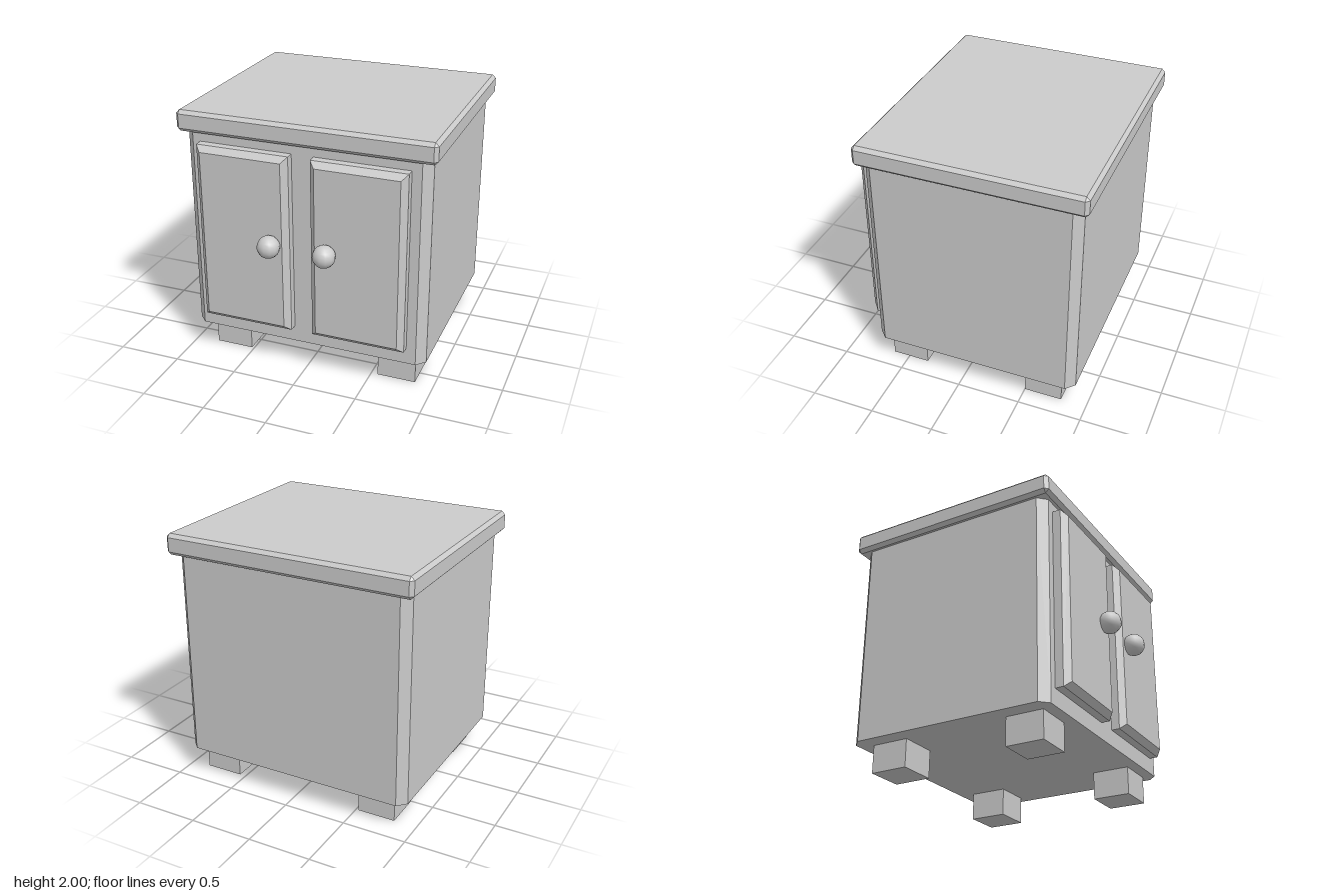
import * as THREE from 'three';
import { ConvexGeometry } from 'three/addons/geometries/ConvexGeometry.js';

const material = new THREE.MeshStandardMaterial({ color: 0xcccccc });
const SIGNS = [-1, 1];

function add(parent, name, geometry, x, y, z) {
  const mesh = new THREE.Mesh(geometry, material);
  mesh.name = name;
  mesh.position.set(x, y, z);
  parent.add(mesh);
  return mesh;
}

// Calls back with the sign triple of each of the eight box corners
function eachCorner(fn) {
  for (const sx of SIGNS) for (const sy of SIGNS) for (const sz of SIGNS) fn(sx, sy, sz);
}

// Box with every edge and corner chamfered by b
function chamferedBox(w, h, d, b) {
  const points = [];
  eachCorner((sx, sy, sz) => {
    const x = w / 2, y = h / 2, z = d / 2;
    points.push(
      new THREE.Vector3(sx * x, sy * (y - b), sz * (z - b)),
      new THREE.Vector3(sx * (x - b), sy * y, sz * (z - b)),
      new THREE.Vector3(sx * (x - b), sy * (y - b), sz * z));
  });
  return new ConvexGeometry(points);
}

// Box with only its upright edges chamfered by b
function chamferedPost(w, h, d, b) {
  const points = [];
  eachCorner((sx, sy, sz) => points.push(
    new THREE.Vector3(sx * w / 2, sy * h / 2, sz * (d / 2 - b)),
    new THREE.Vector3(sx * (w / 2 - b), sy * h / 2, sz * d / 2)));
  return new ConvexGeometry(points);
}

// Raised panel: straight sides from z = 0, then a bevel in to the front face
function raisedPanel(w, h, d, b) {
  const points = [];
  for (const [z, inset] of [[0, 0], [d - b, 0], [d, b]])
    for (const sx of SIGNS) for (const sy of SIGNS)
      points.push(new THREE.Vector3(sx * (w / 2 - inset), sy * (h / 2 - inset), z));
  return new ConvexGeometry(points);
}

export function createModel() {
  const cabinet = new THREE.Group();
  cabinet.name = 'cabinet';

  // Carcass and overhanging top
  add(cabinet, 'body', chamferedPost(1.89, 1.62, 1.64, 0.066), -0.004, 1.027, -0.095);
  add(cabinet, 'tabletop', chamferedBox(1.986, 0.163, 1.744, 0.027), -0.002, 1.9185, -0.097);

  // Doors with round knobs near the middle
  const doorShape = raisedPanel(0.727, 1.418, 0.11, 0.044);
  const knobShape = new THREE.SphereGeometry(0.087, 12, 10);
  for (const [side, doorX, knobX] of [['left', 0.438, 0.212], ['right', -0.459, -0.224]]) {
    add(cabinet, side + 'Door', doorShape, doorX, 1.056, 0.723);
    add(cabinet, side + 'Knob', knobShape, knobX, 1.077, 0.883);
  }

  // Four block feet
  const footShape = new THREE.BoxGeometry(0.3, 0.22, 0.296);
  for (const [side, x] of [['left', 0.702], ['right', -0.67]])
    for (const [end, z] of [['Front', 0.485], ['Back', -0.65]])
      add(cabinet, side + end + 'Foot', footShape, x, 0.11, z);

  return cabinet;
}
